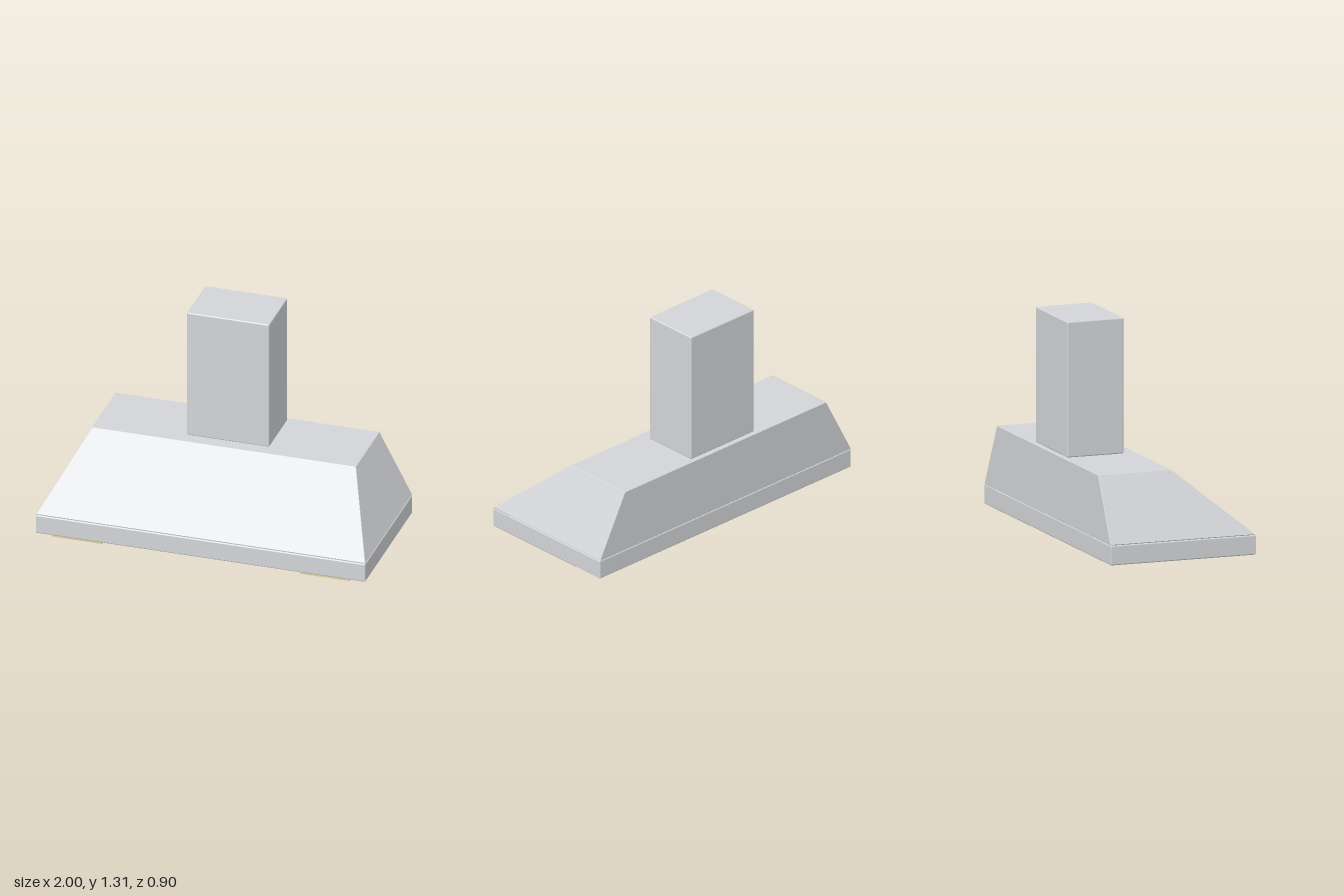
import * as THREE from 'three';
import { RoundedBoxGeometry } from 'three/addons/geometries/RoundedBoxGeometry.js';
import { ConvexGeometry } from 'three/addons/geometries/ConvexGeometry.js';

const material = (name, color) => {
  const m = new THREE.MeshStandardMaterial({ color });
  m.name = name;
  return m;
};

// Sloped canopy: hull of the inset corners pushed out along every face normal, giving softened edges
function canopyGeometry(y0, y1, r) {
  const h = y1 - y0, runX = 0.2, runZ = 0.45;
  const lx = Math.hypot(h, runX), lz = Math.hypot(h, runZ);
  const normals = [
    [0, 1, 0], [0, -1, 0], [0, 0, -1],
    [h / lx, runX / lx, 0], [-h / lx, runX / lx, 0], [0, runZ / lz, h / lz],
  ].map((n) => new THREE.Vector3(...n));
  const points = [];
  for (const y of [y0 + r, y1 - r]) {
    const t = (y - y0) / h;
    const x = 1 - runX * t - r * lx / h;
    const front = 0.45 - runZ * t - r * lz / h;
    for (const s of [-1, 1]) {
      for (const z of [-0.45 + r, front]) {
        for (const n of normals) points.push(new THREE.Vector3(s * x, y, z).addScaledVector(n, r));
      }
    }
  }
  return new ConvexGeometry(points);
}

export function createModel() {
  const model = new THREE.Group();
  model.name = 'rangeHood';

  const steel = material('brushedSteel', 0xd3d5d8);
  const filterGrey = material('filterGrey', 0x96999c);
  const slatGrey = material('slatGrey', 0x828588);
  const lampGlass = material('warmLampGlass', 0xe0d6a4);

  const add = (name, geometry, mat, parent = model) => {
    const mesh = new THREE.Mesh(geometry, mat);
    mesh.name = name;
    parent.add(mesh);
    return mesh;
  };
  // Box given by its extents on each axis, with optional rounded edges
  const box = (name, [x0, x1], [y0, y1], [z0, z1], mat, radius = 0, parent = model) => {
    const size = [x1 - x0, y1 - y0, z1 - z0];
    const geometry = radius
      ? new RoundedBoxGeometry(...size, 3, radius)
      : new THREE.BoxGeometry(...size);
    const mesh = add(name, geometry, mat, parent);
    mesh.position.set((x0 + x1) / 2, (y0 + y1) / 2, (z0 + z1) / 2);
    return mesh;
  };

  // Main shell
  box('baseBand', [-1, 1], [0.013, 0.13], [-0.45, 0.45], steel, 0.008);
  add('canopy', canopyGeometry(0.13, 0.51, 0.003), steel);
  box('chimney', [-0.25, 0.25], [0.51, 1.31], [-0.425, -0.075], steel, 0.008);

  // Four grease filters with slats running side to side
  for (let i = 0; i < 4; i++) {
    const x = -0.69 + i * 0.46;
    const filter = new THREE.Group();
    filter.name = 'filter' + (i + 1);
    model.add(filter);
    box('filterPlate', [x - 0.213, x + 0.213], [0.007, 0.015], [-0.3, 0.3], filterGrey, 0, filter);
    for (let j = 0; j < 8; j++) {
      const z = 0.27 - j * 0.077;
      box('filterSlat', [x - 0.2, x + 0.2], [0.004, 0.008], [z - 0.005, z + 0.005], slatGrey, 0, filter);
    }
  }

  // Lamps near the front edge
  for (const s of [-1, 1]) {
    box(s > 0 ? 'leftLamp' : 'rightLamp', [s * 0.75 - 0.15, s * 0.75 + 0.15], [0, 0.016], [0.36, 0.44], lampGlass);
  }

  return model;
}
